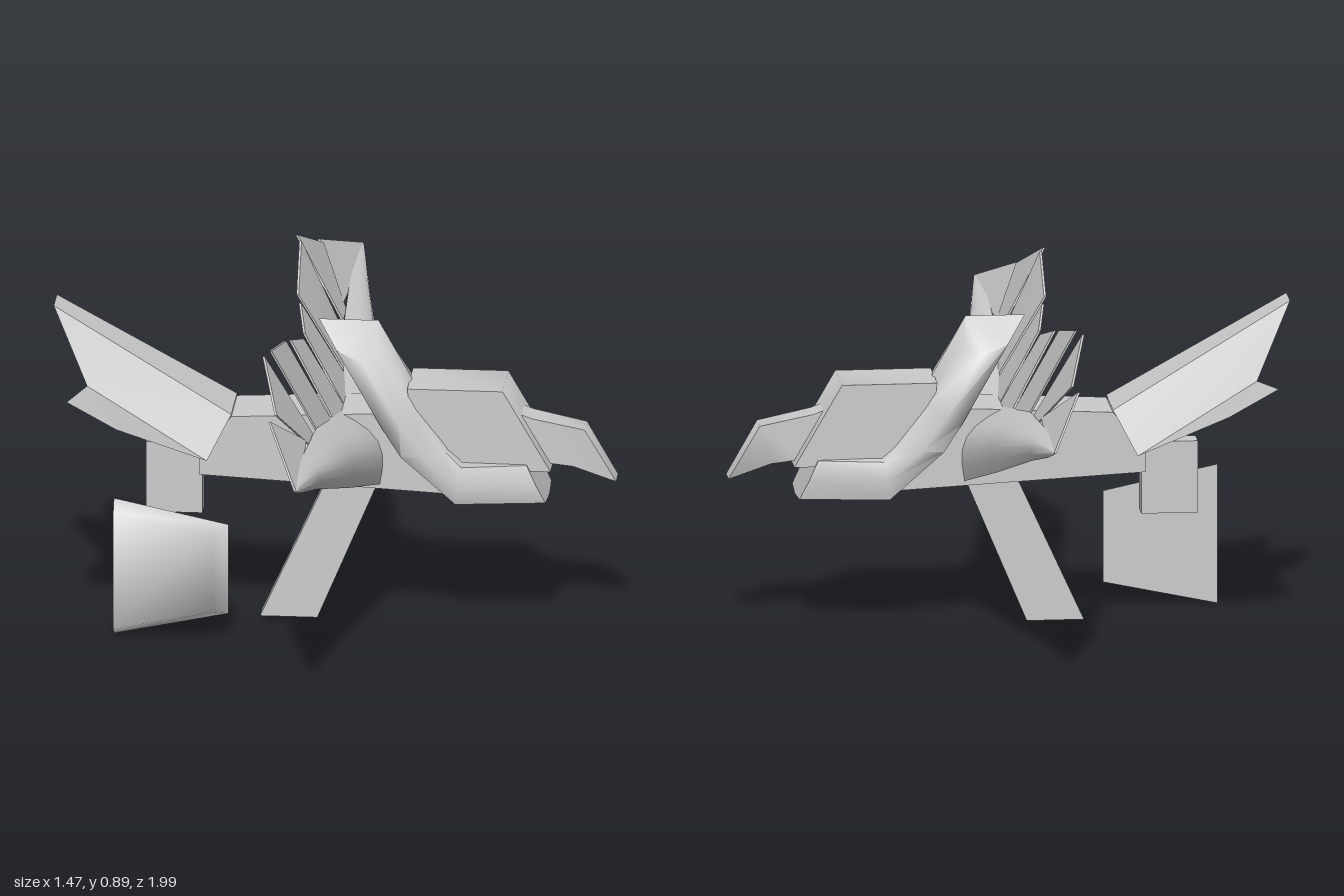
import * as THREE from 'three';
import { toCreasedNormals } from 'three/addons/utils/BufferGeometryUtils.js';

const grey = new THREE.MeshStandardMaterial({ color: 0xcccccc, side: THREE.DoubleSide });
grey.name = 'plain grey';

function add(parent, name, geometry) {
  const mesh = new THREE.Mesh(geometry, grey);
  mesh.name = name;
  parent.add(mesh);
  return mesh;
}

// Side profile in x,y extruded evenly to both sides of z = 0
function slab(points, halfWidth) {
  const shape = new THREE.Shape(points.map(([x, y]) => new THREE.Vector2(x, y)));
  const g = new THREE.ExtrudeGeometry(shape, { depth: halfWidth * 2, bevelEnabled: false });
  return g.translate(0, 0, -halfWidth);
}

// Surface from faces listed as rows of corner points
function sheet(faces) {
  const pos = [];
  for (const f of faces)
    for (let i = 1; i < f.length - 1; i++) pos.push(...f[0], ...f[i], ...f[i + 1]);
  const g = new THREE.BufferGeometry();
  g.setAttribute('position', new THREE.Float32BufferAttribute(pos, 3));
  g.computeVertexNormals();
  return g;
}

// Closed loft through rings with an equal number of points; caps fan from the first point
function loft(rings, crease) {
  const n = rings[0].length;
  const faces = [];
  for (let r = 0; r < rings.length - 1; r++)
    for (let i = 0; i < n; i++) {
      const j = (i + 1) % n;
      faces.push([rings[r][i], rings[r][j], rings[r + 1][j], rings[r + 1][i]]);
    }
  const [first, ...rest] = rings[0];
  faces.push([first, ...rest.reverse()], rings[rings.length - 1]);
  return toCreasedNormals(sheet(faces), crease);
}

// Sloping plane that holds the wing and its feathers
const wingX = (y) => 0.117 - 0.556 * (y - 0.41);

function wing(side) {
  const g = new THREE.Group();
  g.name = side > 0 ? 'wingFront' : 'wingBack';

  // Arm: flat behind, rounded in front; rows are z, lower y, upper y, bulge, forward shift
  const sections = [
    [0.06, 0.4, 0.6, 0.05, 0], [0.4, 0.505, 0.665, 0.045, 0.004],
    [0.75, 0.62, 0.695, 0.025, 0.01], [0.92, 0.668, 0.7, 0.012, 0.015], [0.99, 0.692, 0.698, 0.003, 0.02],
  ];
  const rings = sections.map(([z, lo, hi, bulge, shift]) => {
    const ring = [];
    for (let i = 0; i <= 6; i++) {
      const t = i / 6;
      const b = bulge * Math.sin(Math.PI * t);
      const y = lo + (hi - lo) * t;
      ring.push([wingX(y) + shift + b, y + b * 0.4, z * side]);
    }
    return ring;
  });
  add(g, 'wingArm', loft(rings, 1.0));

  // Feathers as thin plates; corners are z, y and shift off the wing plane
  const feathers = [
    [[0.995, 0.697, 0.02], [0.73, 0.795, -0.016], [0.55, 0.685, 0], [0.9, 0.67, 0.01]],
    [[0.69, 0.8, 0], [0.485, 0.89, 0], [0.45, 0.67, 0], [0.54, 0.67, 0]],
    [[0.44, 0.89, 0.014], [0.185, 0.83, -0.004], [0.2, 0.6, 0], [0.39, 0.65, 0]],
    [[0.147, 0.82, 0], [0.02, 0.78, 0], [0.0, 0.56, 0], [0.18, 0.6, 0]],
  ];
  feathers.forEach((outline, i) => {
    const ring = (d) => outline.map(([z, y, shift]) => [wingX(y) + shift + d, y, z * side]);
    add(g, 'feather' + (i + 1), loft([ring(-0.003), ring(0.003)], 0.3));
  });
  return g;
}

export function createModel() {
  const model = new THREE.Group();
  model.name = 'bird';

  // Trunk and supports
  add(model, 'body', slab([[-0.355, 0.42], [-0.355, 0.48], [-0.27, 0.582], [0.08, 0.6], [0.2, 0.6], [0.32, 0.385]], 0.085));
  add(model, 'leg', slab([[-0.2, 0.015], [-0.05, 0.015], [0.12, 0.42], [-0.015, 0.42]], 0.027));
  add(model, 'rearLegBlock', slab([[-0.498, 0.295], [-0.35, 0.295], [-0.35, 0.487], [-0.498, 0.487]], 0.03));

  // Foot plate beside the body with bevelled outer face
  const back = [[-0.57, 0.003, 0.165], [-0.27, 0.067, 0.165], [-0.27, 0.312, 0.165], [-0.57, 0.376, 0.165]];
  const front = [[-0.568, 0.03, 0.21], [-0.31, 0.085, 0.21], [-0.31, 0.295, 0.21], [-0.568, 0.35, 0.21]];
  add(model, 'footPlate', loft([back, front], 1.2));

  // Collar from crest to lower jaw: rear edge, front edge, half width, side drop, squareness
  const collar = [
    [[-0.048, 0.83], [0.108, 0.83], 0.1, 0.085, 0.9],
    [[0.115, 0.555], [0.225, 0.62], 0.125, 0, 0.7],
    [[0.165, 0.49], [0.305, 0.51], 0.132, 0, 0.5],
    [[0.318, 0.365], [0.335, 0.478], 0.136, 0, 0.3],
    [[0.555, 0.365], [0.5, 0.478], 0.1, 0, 0.3],
  ].map(([a, b, w, drop, p]) => {
    const soft = (v) => Math.sign(v) * Math.abs(v) ** p;
    const ring = [];
    for (let i = 0; i < 8; i++) {
      const t = (i / 8) * Math.PI * 2;
      const k = 0.5 + 0.5 * soft(Math.round(Math.cos(t) * 1e6) / 1e6);
      const s = soft(Math.round(Math.sin(t) * 1e6) / 1e6);
      ring.push([a[0] + (b[0] - a[0]) * k + drop * 0.5 * Math.abs(s),
        a[1] + (b[1] - a[1]) * k - drop * Math.abs(s), w * s]);
    }
    return ring;
  });
  add(model, 'collarAndJaw', loft(collar, 1.1));

  // Head and hooked beak
  const head = slab([[0.19, 0.672], [0.44, 0.672], [0.565, 0.455], [0.22, 0.455]], 0.085);
  add(model, 'head', toCreasedNormals(head, 1.2));
  const beak = [
    [0.47, 0.6, 0.45, 0.47, 0.04], [0.51, 0.585, 0.54, 0.465, 0.04],
    [0.65, 0.556, 0.62, 0.455, 0.036], [0.732, 0.415, 0.715, 0.42, 0.03],
  ].map(([tx, ty, bx, by, w]) => [[tx, ty, -w], [tx, ty, w], [bx, by, w], [bx, by, -w]]);
  add(model, 'beak', loft(beak, 1.1));

  // Tail: tapering core with a low fin spreading from each lower edge
  const core = [[-0.27, 0.588, -0.33, 0.475, 0.085, 0.134], [-0.738, 0.86, -0.646, 0.66, 0.045, 0.1]]
    .map(([tx, ty, bx, by, tw, bw]) => [[tx, ty, -tw], [tx, ty, tw], [bx, by, bw], [bx, by, -bw]]);
  add(model, 'tailCore', loft(core, 0.5));
  for (const s of [1, -1])
    add(model, s > 0 ? 'tailFinFront' : 'tailFinBack', sheet([[[-0.646, 0.66, 0.1 * s],
      [-0.33, 0.475, 0.134 * s], [-0.55, 0.617, 0.317 * s], [-0.68, 0.69, 0.32 * s]]]));

  model.add(wing(1), wing(-1));
  return model;
}
